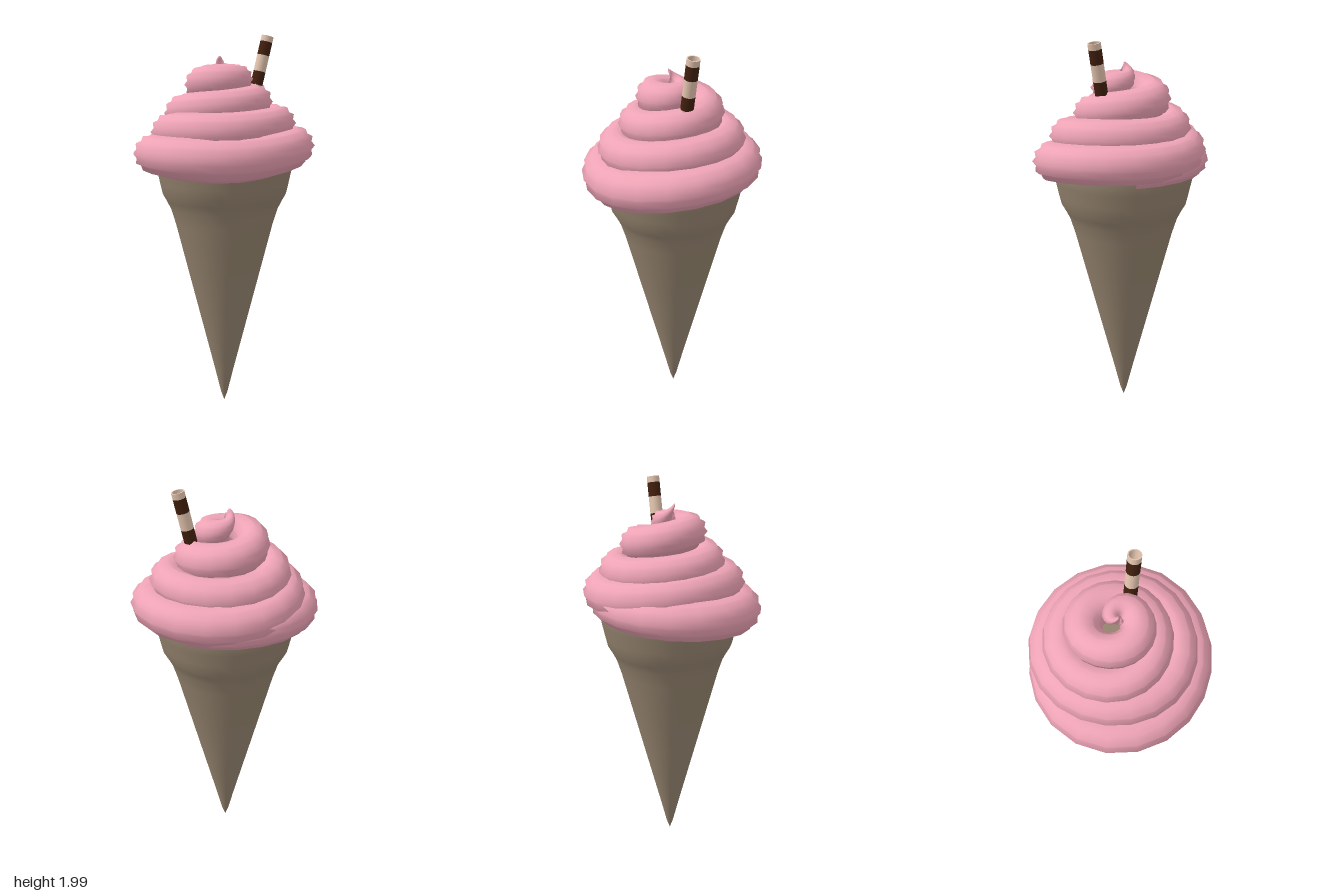
import * as THREE from 'three';

const mat = (color, side = THREE.FrontSide) => new THREE.MeshStandardMaterial({ color, side, roughness: 0.8 });

function addMesh(parent, name, geometry, material) {
  const mesh = new THREE.Mesh(geometry, material);
  mesh.name = name;
  parent.add(mesh);
  return mesh;
}

// One long piped tube winding inwards and upwards, with a toothed cross-section
function creamGeometry() {
  // Every quarter turn: outer distance from the axis, height, tube radius
  const keys = [
    [0.42, 1.37, 0.045], [0.43, 1.4, 0.07], [0.48, 1.39, 0.09], [0.45, 1.365, 0.1],
    [0.48, 1.435, 0.09], [0.45, 1.45, 0.09], [0.385, 1.5, 0.09], [0.37, 1.5, 0.09],
    [0.38, 1.55, 0.085], [0.37, 1.56, 0.085], [0.31, 1.6, 0.085], [0.25, 1.62, 0.085],
    [0.26, 1.66, 0.085], [0.265, 1.7, 0.085], [0.2, 1.75, 0.08], [0.165, 1.755, 0.08],
    [0.15, 1.775, 0.065], [0.08, 1.81, 0.045], [0.03, 1.88, 0.008],
  ];
  const curve = new THREE.CatmullRomCurve3(keys.map(k => new THREE.Vector3(...k)), false, 'catmullrom', 0.5);
  const quarters = keys.length - 1, first = 0.5, sides = 24;
  const rings = Math.round((quarters - first) * 5);
  const positions = [], teeth = [], index = [];
  for (let i = -1; i <= rings + 1; i++) {
    const q = first + (quarters - first) * THREE.MathUtils.clamp(i / rings, 0, 1);
    const k = curve.getPoint(q / quarters);
    const closed = i < 0 || i > rings; // end rings shrink to a point
    const radius = closed ? 0 : k.z;
    const angle = q * Math.PI / 2;
    for (let j = 0; j < sides; j++) {
      const phi = j / sides * Math.PI * 2;
      const put = (list, size) => {
        const d = k.x - k.z * 1.08 + Math.cos(phi) * size;
        list.push(Math.cos(angle) * d, k.y + Math.sin(phi) * size, -Math.sin(angle) * d);
      };
      put(positions, radius);
      put(teeth, radius * (j % 2 ? 0.92 : 1.08));
      if (i <= rings) {
        const a = (i + 1) * sides + j, b = (i + 1) * sides + (j + 1) % sides;
        index.push(a, a + sides, b, b, a + sides, b + sides);
      }
    }
  }
  const geometry = new THREE.BufferGeometry();
  geometry.setIndex(index);
  geometry.setAttribute('position', new THREE.Float32BufferAttribute(positions, 3));
  geometry.computeVertexNormals(); // soft shading of the round tube
  geometry.setAttribute('position', new THREE.Float32BufferAttribute(teeth, 3));
  return geometry;
}

export function createModel() {
  const model = new THREE.Group();
  model.name = 'iceCreamCone';

  // Wafer cone with a wider collar
  const profile = [
    [0, 0.01], [0.018, 0.06], [0.05, 0.19], [0.155, 0.6], [0.26, 1.01], [0.285, 1.09], [0.305, 1.13],
    [0.328, 1.17], [0.34, 1.22], [0.355, 1.29], [0.37, 1.36], [0.35, 1.37], [0, 1.4],
  ].map(p => new THREE.Vector2(...p));
  const cone = addMesh(model, 'cone', new THREE.LatheGeometry(profile, 32), mat(0x94836e));
  cone.position.set(0.005, 0, -0.015);

  // Whipped cream swirl
  addMesh(model, 'creamSwirl', creamGeometry(), mat(0xeda3b5, THREE.DoubleSide));

  // Striped hollow straw leaning to the left
  const straw = new THREE.Group();
  straw.name = 'straw';
  straw.position.set(0.145, 1.62, 0);
  straw.rotation.z = -Math.atan2(0.085, 0.37);
  const light = mat(0xe6c6b0, THREE.DoubleSide), dark = mat(0x42200f, THREE.DoubleSide);
  const cuts = [0, 0.045, 0.125, 0.195, 0.28, 0.35, 0.38];
  for (let i = 0; i < cuts.length - 1; i++) {
    const height = cuts[i + 1] - cuts[i];
    const band = addMesh(straw, i % 2 ? 'strawStripe' : 'strawBand',
      new THREE.CylinderGeometry(0.032, 0.032, height, 20, 1, true), i % 2 ? light : dark);
    band.material = [light, light, dark, light, dark, light][i];
    band.name = band.material === dark ? 'strawStripe' : 'strawBand';
    band.position.y = cuts[i] + height / 2;
  }
  // Inner wall and rim
  const inner = addMesh(straw, 'strawInside', new THREE.CylinderGeometry(0.026, 0.026, 0.38, 20, 1, true), light);
  inner.position.y = 0.19;
  const rim = addMesh(straw, 'strawRim', new THREE.RingGeometry(0.026, 0.032, 20), light);
  rim.rotation.x = -Math.PI / 2;
  rim.position.y = 0.38;
  model.add(straw);

  return model;
}
